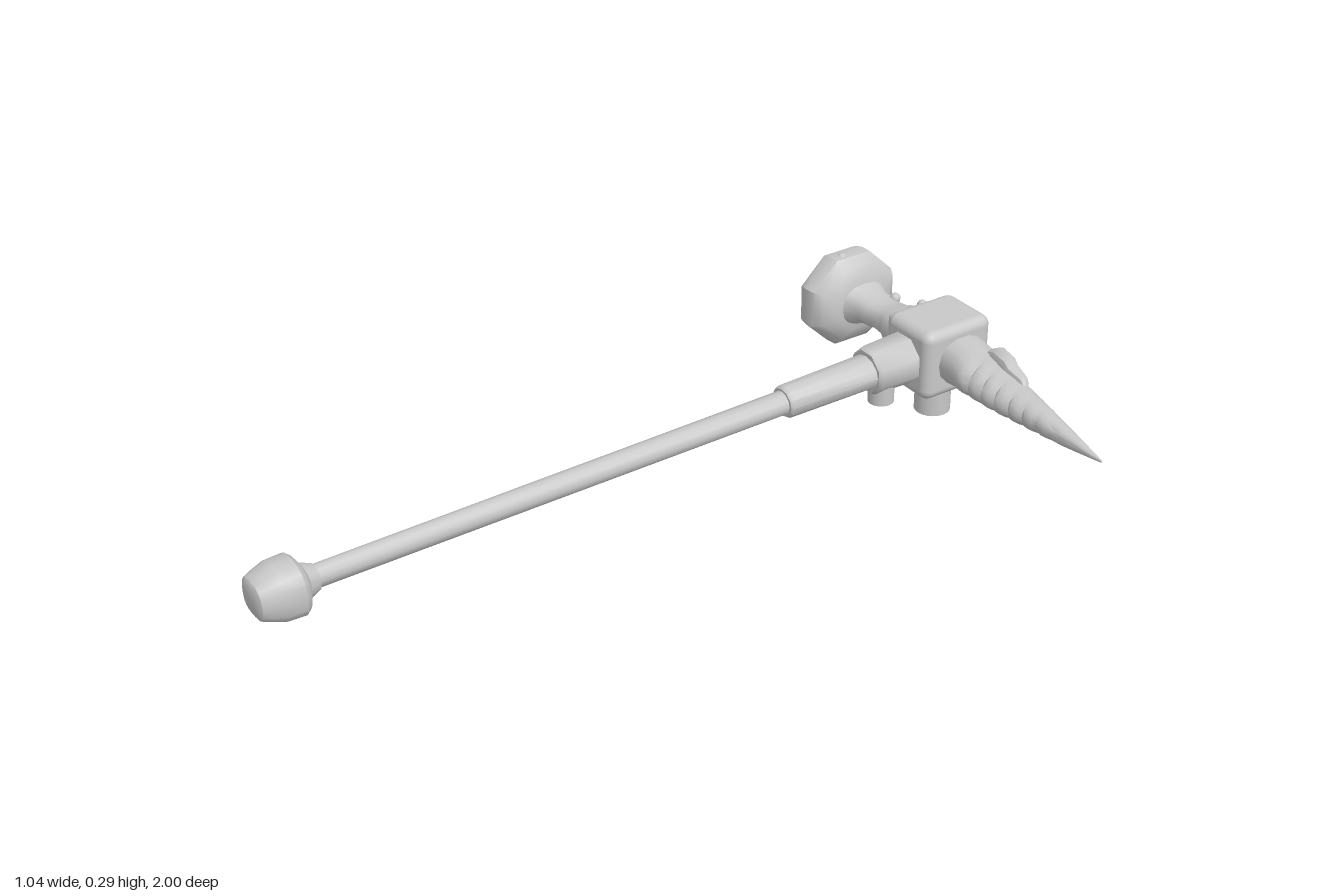
import * as THREE from 'three';
import { toCreasedNormals } from 'three/addons/utils/BufferGeometryUtils.js';
import { RoundedBoxGeometry } from 'three/addons/geometries/RoundedBoxGeometry.js';

const steel = new THREE.MeshStandardMaterial({ color: 0xc8c8c8 });
steel.name = 'grey steel';

// Skin over rings [x, zMin, zMax, yMin, yMax] along x; power < 1 squares the section.
// Eight-sided rings are octagons with flat sides.
function loft(rings, sides = 16, power = 1, crease = 0.6) {
  const pos = [], idx = [];
  const phase = sides === 8 ? Math.PI / 8 : 0;
  const bend = v => Math.sign(v) * Math.pow(Math.abs(v) / Math.cos(phase), power);
  for (const [x, z0, z1, y0, y1] of rings) {
    for (let j = 0; j < sides; j++) {
      const a = (j / sides) * Math.PI * 2 + phase;
      pos.push(x, (y0 + y1) / 2 + (y1 - y0) / 2 * bend(Math.sin(a)),
        (z0 + z1) / 2 + (z1 - z0) / 2 * bend(Math.cos(a)));
    }
  }
  const n = rings.length, start = n * sides, end = start + 1;
  for (const [x, z0, z1, y0, y1] of [rings[0], rings[n - 1]]) pos.push(x, (y0 + y1) / 2, (z0 + z1) / 2);
  for (let j = 0; j < sides; j++) {
    const k = (j + 1) % sides, last = (n - 1) * sides;
    for (let i = 0; i < n - 1; i++) {
      const a = i * sides + j, b = a + sides, c = i * sides + k, d = c + sides;
      idx.push(a, b, c, b, d, c);
    }
    idx.push(start, j, k, end, last + k, last + j);
  }
  const geo = new THREE.BufferGeometry();
  geo.setAttribute('position', new THREE.Float32BufferAttribute(pos, 3));
  geo.setIndex(idx);
  return toCreasedNormals(geo, crease);
}

// Symmetric ring: position, half width, half height, sideways offset.
const ring = (x, w, h, z = 0) => [x, z - w, z + w, -h, h];

function add(parent, name, geometry, x = 0, y = 0, z = 0) {
  const mesh = new THREE.Mesh(geometry, steel);
  mesh.name = name;
  mesh.position.set(x, y, z);
  parent.add(mesh);
  return mesh;
}

function spikeRings() {
  // Spike with a saw-toothed front edge.
  const edge = (x, pts) => {
    let i = 0;
    while (i < pts.length - 2 && x > pts[i + 1][0]) i++;
    const [a, b] = [pts[i], pts[i + 1]];
    return THREE.MathUtils.lerp(a[1], b[1], (x - a[0]) / (b[0] - a[0]));
  };
  const back = [[0.16, -0.066], [0.32, -0.03], [0.43, -0.006], [0.649, 0.043]];
  const front = [[0.16, 0.077], [0.29, 0.08], [0.39, 0.071], [0.54, 0.059], [0.649, 0.047]];
  const height = [[0.16, 0.054], [0.3, 0.041], [0.42, 0.032], [0.54, 0.019], [0.649, 0.003]];
  const at = (x, cut) => {
    const h = edge(x, height);
    return [x, edge(x, back), edge(x, front) - cut, -h, h];
  };
  const rings = [[0.06, -0.08, 0.068, -0.066, 0.066], [0.135, -0.072, 0.068, -0.057, 0.057]];
  const teeth = 7, step = 0.048;
  for (let i = 0; i < teeth; i++) {
    const x = 0.165 + i * step, cut = 0.018 * (1 - i / teeth);
    rings.push(at(x, 0), at(x + step * 0.45, cut * 0.15), at(x + step * 0.75, cut));
  }
  for (const x of [0.52, 0.57, 0.62, 0.649]) rings.push(at(x, 0));
  return rings;
}

export function createModel() {
  const model = new THREE.Group();
  model.name = 'warHammer';
  const body = new THREE.Group();
  body.name = 'hammerBody';
  body.position.set(-0.12, 0.167, -0.83);
  body.rotation.y = -0.18;
  model.add(body);

  // Head: central block, hammer, neck and spike
  const head = new THREE.Group();
  head.name = 'head';
  body.add(head);
  add(head, 'headBlock', new RoundedBoxGeometry(0.168, 0.186, 0.206, 4, 0.026), 0.007, 0, 0.004);
  add(head, 'neckCollar', new RoundedBoxGeometry(0.06, 0.126, 0.136, 3, 0.014), -0.085, 0, 0.004);
  add(head, 'neck', loft([
    ring(-0.32, 0.085, 0.075, 0.012), ring(-0.285, 0.068, 0.055, 0.01), ring(-0.25, 0.052, 0.04, 0.006),
    ring(-0.22, 0.054, 0.038, 0.004), ring(-0.2, 0.048, 0.036, 0.004), ring(-0.16, 0.052, 0.04, 0.004),
    ring(-0.14, 0.062, 0.048, 0.004), ring(-0.07, 0.064, 0.052, 0.004)], 16, 0.8, 0.9));
  add(head, 'hammerFace', loft([
    ring(-0.39, 0.105, 0.098, 0.024), ring(-0.378, 0.12, 0.115, 0.023), ring(-0.355, 0.126, 0.121, 0.021),
    ring(-0.325, 0.125, 0.12, 0.018), ring(-0.304, 0.112, 0.098, 0.015), ring(-0.285, 0.08, 0.068, 0.01)],
    8, 1, 0.7));
  add(head, 'spike', loft(spikeRings(), 14, 0.9, 0.8));
  add(head, 'spikePlate', loft([
    ring(0.165, 0.024, 0.052, -0.034), ring(0.19, 0.028, 0.067, -0.032), ring(0.245, 0.026, 0.067, -0.022),
    ring(0.265, 0.024, 0.057, -0.016), ring(0.315, 0.016, 0.05, -0.008), ring(0.33, 0.01, 0.034, -0.004)],
    12, 0.6, 0.8));

  // Small knobs on the hammer side
  const knob = new THREE.SphereGeometry(0.014, 12, 8);
  for (const s of [-1, 1]) {
    add(head, 'neckKnob', knob, -0.213, s * 0.031, -0.034);
    add(head, 'collarKnob', knob, -0.112, s * 0.052, -0.04);
    add(head, 'faceKnob', knob, -0.345, s * 0.112, 0.04);
  }

  // Pegs hanging below the head
  add(body, 'largePeg', new THREE.CylinderGeometry(0.046, 0.046, 0.107, 20), 0.014, -0.1135, 0.018);
  add(body, 'smallPeg', new THREE.CylinderGeometry(0.033, 0.033, 0.07, 16), 0.005, -0.063, 0.178);

  // Handle, built along x and turned to point forward with a slight droop
  const handle = new THREE.Group();
  handle.name = 'handle';
  handle.rotation.x = 0.018;
  body.add(handle);
  const along = (name, rings, sides, power, crease) => {
    add(handle, name, loft(rings, sides, power, crease)).rotation.y = -Math.PI / 2;
  };
  along('handleCollar', [ring(0.08, 0.064, 0.062), ring(0.215, 0.057, 0.058), ring(0.225, 0.052, 0.052)], 8, 1, 0.9);
  along('sleeve', [ring(0.2, 0.05, 0.043), ring(0.47, 0.043, 0.041), ring(0.478, 0.038, 0.036)], 12);
  along('shaft', [ring(0.45, 0.031, 0.03), ring(1.76, 0.027, 0.027)], 12);
  along('pommel', [
    ring(1.71, 0.028, 0.028), ring(1.738, 0.04, 0.038), ring(1.748, 0.06, 0.056), ring(1.76, 0.067, 0.067),
    ring(1.805, 0.064, 0.066), ring(1.838, 0.056, 0.054), ring(1.856, 0.05, 0.046), ring(1.861, 0.04, 0.036)],
    16, 0.75, 0.7);

  return model;
}
